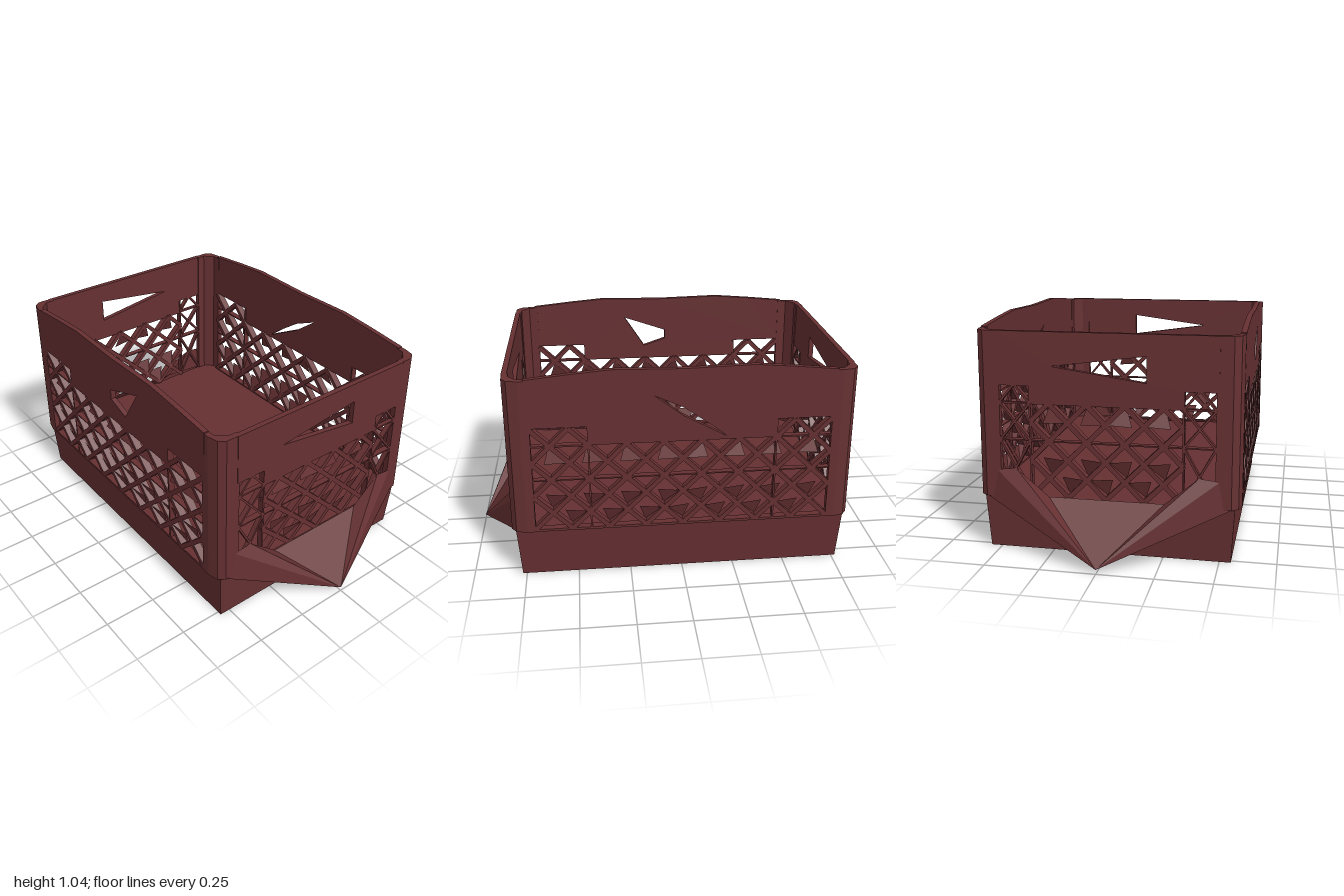
import * as THREE from 'three';
import { mergeGeometries } from 'three/addons/utils/BufferGeometryUtils.js';

const plastic = new THREE.MeshStandardMaterial({ color: 0x663032, flatShading: true, side: THREE.DoubleSide });
plastic.name = 'dark red plastic';

const FLOOR = 0.26, H = 0.085;

function mesh(name, geometry) {
  const m = new THREE.Mesh(geometry, plastic);
  m.name = name;
  return m;
}

// faces given as corner triples
function triangles(faces) {
  const g = new THREE.BufferGeometry();
  g.setAttribute('position', new THREE.Float32BufferAttribute(faces.flat(2), 3));
  g.computeVertexNormals();
  return g;
}

function polygon(points) {
  return points.map(([x, y]) => new THREE.Vector2(x, y));
}

// straight bar in the wall plane
function bar(x0, y0, x1, y1, width, depth) {
  const g = new THREE.BoxGeometry(Math.hypot(x1 - x0, y1 - y0), width, depth);
  g.rotateZ(Math.atan2(y1 - y0, x1 - x0));
  return g.translate((x0 + x1) / 2, (y0 + y1) / 2, -depth / 2);
}

// diagonal grid; columns beyond `inner` steps rise one step higher
function lattice(step, inner, outer) {
  const bars = [], fins = [];
  const X = i => i * step, Y = j => FLOOR + j * H;
  for (let i = -outer; i < outer; i++) {
    const rows = Math.abs(i + 0.5) > inner ? 6 : 5;
    for (let j = 0; j < rows; j++) {
      const up = (i + j) % 2 === 0;
      bars.push(bar(X(i), Y(up ? j : j + 1), X(i + 1), Y(up ? j + 1 : j), 0.022, 0.035));
    }
  }
  // slanted webs filling part of the openings
  for (let i = -outer + 1; i < outer; i++) {
    const s = i < 0 ? -1 : 1;
    for (let j = 1; j < 5; j++) {
      if ((i + j) % 2 === 0 || j === 3) continue;
      const v = j < 3 ? 1 : -1;
      fins.push([
        [X(i - s), Y(j), -0.002],
        [X(i), Y(j - v), -0.04],
        [X(i + s * 0.35), Y(j + v * 0.1), -0.012]
      ]);
    }
  }
  const group = new THREE.Group();
  group.name = 'lattice';
  group.add(mesh('latticeBars', mergeGeometries(bars)), mesh('latticeWebs', triangles(fins)));
  return group;
}

// solid upper band with a grip opening
function band(outline, hole) {
  const shape = new THREE.Shape(polygon(outline));
  shape.holes.push(new THREE.Path(polygon(hole)));
  return mesh('upperBand', new THREE.ExtrudeGeometry(shape, { depth: 0.025, bevelEnabled: false }).translate(0, 0, -0.025));
}

// short wall, outer face at local z = 0
function endWall() {
  const wall = new THREE.Group();
  wall.add(band(
    [[-0.49, 1], [-0.49, 0.76], [-0.34, 0.76], [-0.34, 0.68], [0.34, 0.68], [0.34, 0.76], [0.49, 0.76], [0.49, 1]],
    [[0.18, 0.905], [-0.24, 0.85], [0.18, 0.79]]
  ));
  wall.add(lattice(H, 4, 4));
  const thin = [bar(-0.48, 0.515, 0.48, 0.515, 0.006, 0.03)];
  for (const s of [-1, 1]) {
    thin.push(bar(s * 0.34, FLOOR, s * 0.34, 0.76, 0.008, 0.03), bar(s * 0.34, 0.683, s * 0.48, 0.683, 0.008, 0.02));
    for (const [a, b] of [[FLOOR, 0.515], [0.515, 0.683], [0.683, 0.85]]) {
      thin.push(bar(s * 0.34, a, s * 0.48, b, 0.01, 0.025), bar(s * 0.34, b, s * 0.48, a, 0.01, 0.025));
    }
  }
  wall.add(mesh('thinBars', mergeGeometries(thin)));

  // pointed skirt below the lattice
  const tip = [0, 0.02, 0.2], root = [0, 0.02, -0.03], faces = [];
  faces.push([tip, [0.26, FLOOR, 0], [-0.26, FLOOR, 0]]);
  for (const s of [-1, 1]) {
    const inner = [s * 0.26, FLOOR, 0], peak = [s * 0.41, 0.385, 0];
    const shoulder = [s * 0.5, 0.375, 0], corner = [s * 0.555, 0.25, -0.01];
    faces.push([tip, peak, inner], [tip, shoulder, peak], [tip, corner, shoulder], [tip, root, corner]);
    faces.push([inner, peak, shoulder], [inner, shoulder, corner]);
  }
  wall.add(mesh('pointedSkirt', triangles(faces)));
  return wall;
}

// long wall with a gently raised rim
function sideWall(hole) {
  const wall = new THREE.Group();
  wall.add(band(
    [[-0.7, 1.005], [-0.7, 0.775], [-0.43, 0.775], [-0.43, 0.685], [0.43, 0.685], [0.43, 0.775], [0.7, 0.775],
      [0.7, 1.005], [0.5, 1.025], [0.32, 1.04], [0, 1.033], [-0.32, 1.04], [-0.5, 1.025]],
    hole
  ));
  wall.add(lattice(0.0863, 5, 8));
  const thin = [bar(-0.69, 0.515, 0.69, 0.515, 0.006, 0.03), bar(-0.7, 0.256, 0.7, 0.256, 0.012, 0.035)];
  for (const s of [-1, 1]) {
    thin.push(bar(s * 0.43, FLOOR, s * 0.43, 0.775, 0.008, 0.03), bar(s * 0.43, 0.685, s * 0.69, 0.685, 0.008, 0.03));
  }
  wall.add(mesh('thinBars', mergeGeometries(thin)));
  return wall;
}

// tapered tub bottom with a shallow valley along the floor
function base() {
  const g = new THREE.BoxGeometry(1.13, 0.255, 1.57, 2, 1, 1).toNonIndexed();
  g.translate(0, 0.1275, 0);
  const p = g.attributes.position;
  for (let i = 0; i < p.count; i++) {
    if (p.getY(i) < 0.01) p.setXYZ(i, p.getX(i) * 0.975, 0, p.getZ(i) * 0.98);
    else if (Math.abs(p.getX(i)) < 0.01 && Math.abs(p.getZ(i)) < 0.79) p.setY(i, 0.245);
  }
  g.computeVertexNormals();
  return mesh('base', g);
}

// chamfered corner post
function cornerPost(sx, sz) {
  const section = [[0.592, 0.69], [0.592, 0.73], [0.58, 0.78], [0.55, 0.803], [0.48, 0.803],
    [0.48, 0.775], [0.52, 0.775], [0.565, 0.735], [0.565, 0.69]];
  const shape = new THREE.Shape(polygon(section.map(([x, z]) => [x * sx, -z * sz])));
  const g = new THREE.ExtrudeGeometry(shape, { depth: 0.75, bevelEnabled: false });
  g.rotateX(-Math.PI / 2).translate(0, 0.25, 0);
  // slight inward lean at the top
  const p = g.attributes.position;
  for (let i = 0; i < p.count; i++) {
    if (p.getY(i) > 0.9) p.setXYZ(i, p.getX(i) * 0.995, p.getY(i), p.getZ(i) * 0.992);
  }
  g.computeVertexNormals();
  return mesh('cornerPost', g);
}

export function createModel() {
  const crate = new THREE.Group();
  crate.name = 'crate';
  crate.add(base());
  for (const sx of [-1, 1]) for (const sz of [-1, 1]) crate.add(cornerPost(sx, sz));

  const front = endWall(), back = endWall();
  front.name = 'frontWall';
  back.name = 'backWall';
  front.position.z = 0.8;
  back.position.z = -0.8;
  back.rotation.y = Math.PI;

  const left = sideWall([[-0.13, 0.91], [0, 0.81], [0.2, 0.7], [0.14, 0.75], [0, 0.85]]);
  const right = sideWall([[0.2, 0.93], [-0.03, 0.85], [-0.03, 0.8], [0.09, 0.76]]);
  left.name = 'leftWall';
  right.name = 'rightWall';
  left.position.x = 0.59;
  left.rotation.y = Math.PI / 2;
  right.position.x = -0.59;
  right.rotation.y = -Math.PI / 2;

  crate.add(front, back, left, right);
  return crate;
}
